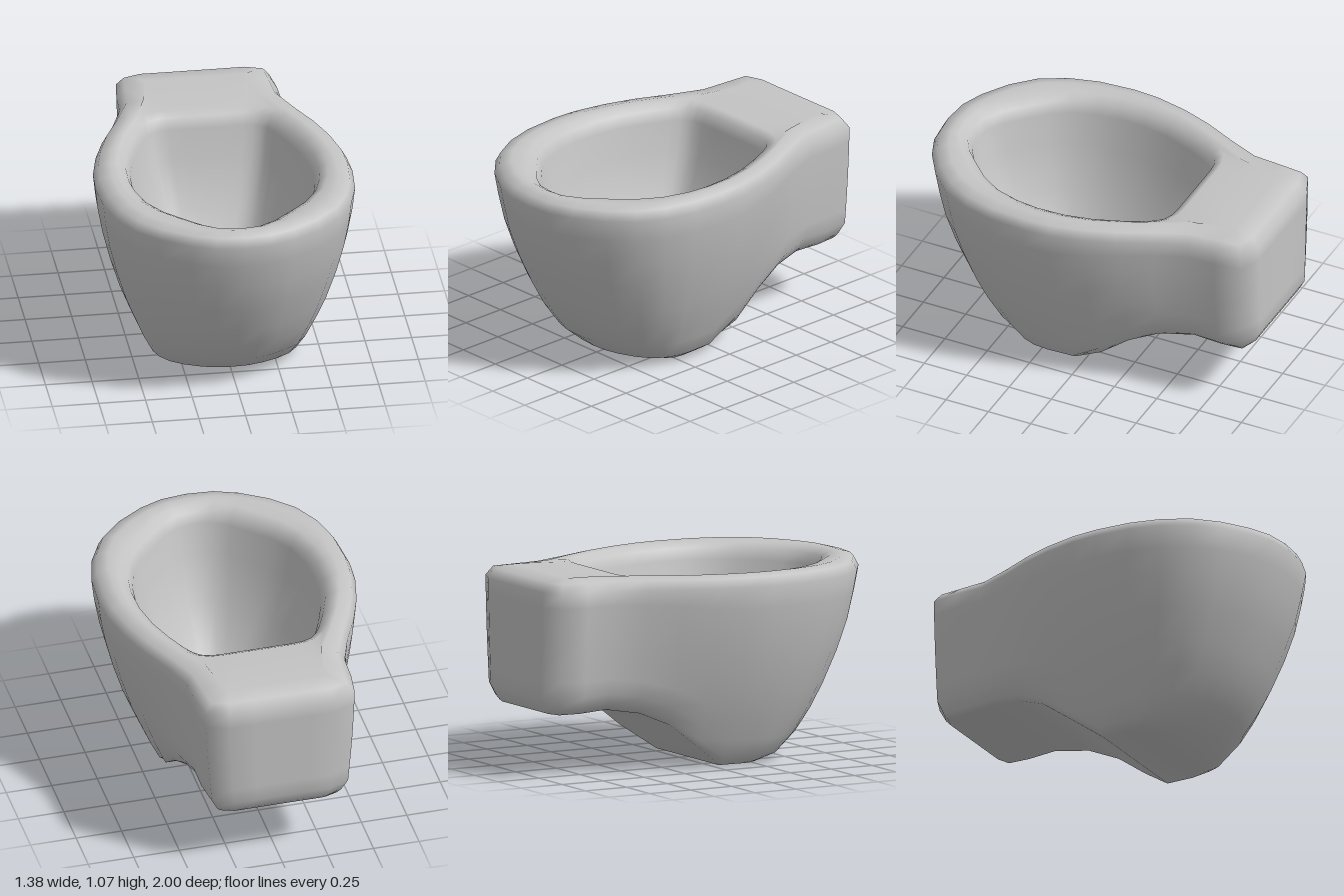
import * as THREE from 'three';

// Half outlines in plan as [x, z], running from the front centre round to the back centre
const OUTER = [[0, 1], [0.15, 0.985], [0.28, 0.935], [0.43, 0.84], [0.55, 0.72], [0.63, 0.57],
  [0.675, 0.4], [0.69, 0.2], [0.68, 0.05], [0.64, -0.13], [0.58, -0.3], [0.5, -0.47],
  [0.435, -0.65], [0.43, -0.8], [0.41, -0.95], [0.29, -1], [0.15, -1], [0, -1]];
const INNER = [[0, 0.8], [0.09, 0.79], [0.18, 0.735], [0.27, 0.65], [0.36, 0.56], [0.43, 0.45],
  [0.47, 0.32], [0.485, 0.2], [0.48, 0.05], [0.45, -0.1], [0.4, -0.24], [0.35, -0.35],
  [0.32, -0.4], [0.29, -0.43], [0.25, -0.445], [0.2, -0.45], [0.1, -0.45], [0, -0.45]];
const LAST = OUTER.length - 1;
const COUNT = LAST * 2;

// Height-dependent front reach and half width, and the underside curve by z
const FRONT = [[0, 0.37], [0.04, 0.515], [0.14, 0.635], [0.27, 0.73], [0.4, 0.8], [0.57, 0.88],
  [0.73, 0.94], [0.88, 0.975], [1, 1]];
const WIDTH = [[0, 0.34], [0.04, 0.4], [0.14, 0.45], [0.27, 0.505], [0.4, 0.557], [0.57, 0.61],
  [0.73, 0.65], [0.88, 0.677], [1, 0.69]];
const UNDER = [[-0.8, 0.34], [-0.65, 0.35], [-0.47, 0.32], [-0.3, 0.25], [-0.13, 0.13], [0.05, 0]];

const { lerp: mix, smoothstep } = THREE.MathUtils;

function sample(table, v) {
  if (v <= table[0][0]) return table[0][1];
  for (let i = 1; i < table.length; i++) {
    const [a, fa] = table[i - 1], [b, fb] = table[i];
    if (v <= b) return mix(fa, fb, (v - a) / (b - a));
  }
  return table[table.length - 1][1];
}

const mirror = (half) => [...half, ...half.slice(1, -1).reverse().map(([x, z]) => [-x, z])];

// Move an outline inwards along its normals
function inset(pts, amount) {
  return pts.map(([x, z], k) => {
    const p = pts[(k + COUNT - 1) % COUNT], q = pts[(k + 1) % COUNT];
    const tx = q[0] - p[0], tz = q[1] - p[1], l = Math.hypot(tx, tz);
    const d = amount(z);
    return [x + (tz / l) * d, z - (tx / l) * d];
  });
}

const outer = mirror(OUTER);
const inner = mirror(INNER);
const drain = outer.map((_, k) => {
  const a = (k / COUNT) * Math.PI * 2;
  return [0.115 * Math.sin(a), 0.185 + 0.185 * Math.cos(a)];
});
const level = (pts, y) => pts.map(([x, z]) => [x, y, z]);

// Outer wall: t runs from the underside (0) to the rim (1)
function wallRing(t) {
  const round = Math.max(0, 1 - t / 0.14) ** 1.6 * 0.06;
  const pts = inset(outer, (z) => round * smoothstep(-z, 0.05, 0.5));
  return pts.map(([x, z], k) => {
    const y = mix(sample(UNDER, outer[k][1]), 1, t);
    // The rear block tapers only half as much as the bowl
    const rear = 0.5 * smoothstep(-z, 0.2, 0.75);
    const scale = mix(sample(WIDTH, y) / 0.69, 1, rear);
    if (z > 0.2) z = 0.2 + (z - 0.2) * (sample(FRONT, y) - 0.2) / 0.8;
    return [x * scale, y, z];
  });
}

function buildBody() {
  const rings = [0, 0.04, 0.14, 0.27, 0.4, 0.57, 0.73, 0.88, 1].map(wallRing);
  // Rounded rim, softer around the rear block
  const soft = (z) => mix(0.09, 0.15, smoothstep(-z, 0.45, 0.8));
  rings.push(level(inset(outer, (z) => soft(z) * 0.3), 1.05), level(inset(outer, soft), 1.066));
  rings.push(level(inset(inner, () => -0.07), 1.055), level(inset(inner, () => -0.025), 1.03));
  // Bowl, narrowing to the drain
  for (const [f, y] of [[0, 0.97], [0.08, 0.8], [0.3, 0.55], [0.65, 0.32], [1, 0.2]])
    rings.push(level(inner.map(([x, z], k) => [mix(x, drain[k][0], f), mix(z, drain[k][1], f)]), y));

  const index = [];
  for (let r = 0; r < rings.length - 1; r++)
    for (let k = 0; k < COUNT; k++) {
      const n = (k + 1) % COUNT, a = r * COUNT, b = a + COUNT;
      index.push(a + k, a + n, b + n, a + k, b + n, b + k);
    }
  // Underside strips joining the left and right edges
  for (let k = 0; k < LAST; k++) {
    const l0 = (COUNT - k) % COUNT, l1 = COUNT - k - 1;
    if (k > 0) index.push(k, l0, l1);
    if (k < LAST - 1) index.push(k, l1, k + 1);
  }
  const geo = new THREE.BufferGeometry();
  geo.setAttribute('position', new THREE.Float32BufferAttribute(rings.flat(2), 3));
  geo.setIndex(index);
  geo.computeVertexNormals();
  return geo;
}

export function createModel() {
  const ceramic = new THREE.MeshStandardMaterial({ color: 0xc4c4c4 });
  ceramic.name = 'ceramic grey';
  const ochre = new THREE.MeshStandardMaterial({ color: 0xb0904f });
  ochre.name = 'drain ochre';

  const group = new THREE.Group();
  group.name = 'toiletBowl';

  const addFlat = (name, geometry, material, y) => {
    const mesh = new THREE.Mesh(geometry, material);
    mesh.name = name;
    mesh.rotation.x = -Math.PI / 2;
    mesh.position.y = y;
    group.add(mesh);
  };

  const body = new THREE.Mesh(buildBody(), ceramic);
  body.name = 'bowlBody';
  group.add(body);

  // Drain floor, with an irregular pool lying on it
  const floor = new THREE.CircleGeometry(1, 32).scale(0.117, 0.187, 1).translate(0, -0.185, 0);
  addFlat('drainFloor', floor, ceramic, 0.2);
  const pool = [[-0.115, 0.18], [-0.07, 0.195], [-0.015, 0.265], [-0.04, 0.29], [-0.035, 0.36],
    [0, 0.372], [0.035, 0.36], [0.045, 0.3], [0.085, 0.305], [0.112, 0.24], [0.115, 0.16],
    [0.1, 0.08], [0.07, 0.02], [0.03, 0], [-0.04, 0], [-0.08, 0.035], [-0.108, 0.11]];
  const shape = new THREE.Shape(pool.map(([x, z]) => new THREE.Vector2(x, -z)));
  addFlat('drainPool', new THREE.ShapeGeometry(shape), ochre, 0.204);
  return group;
}
